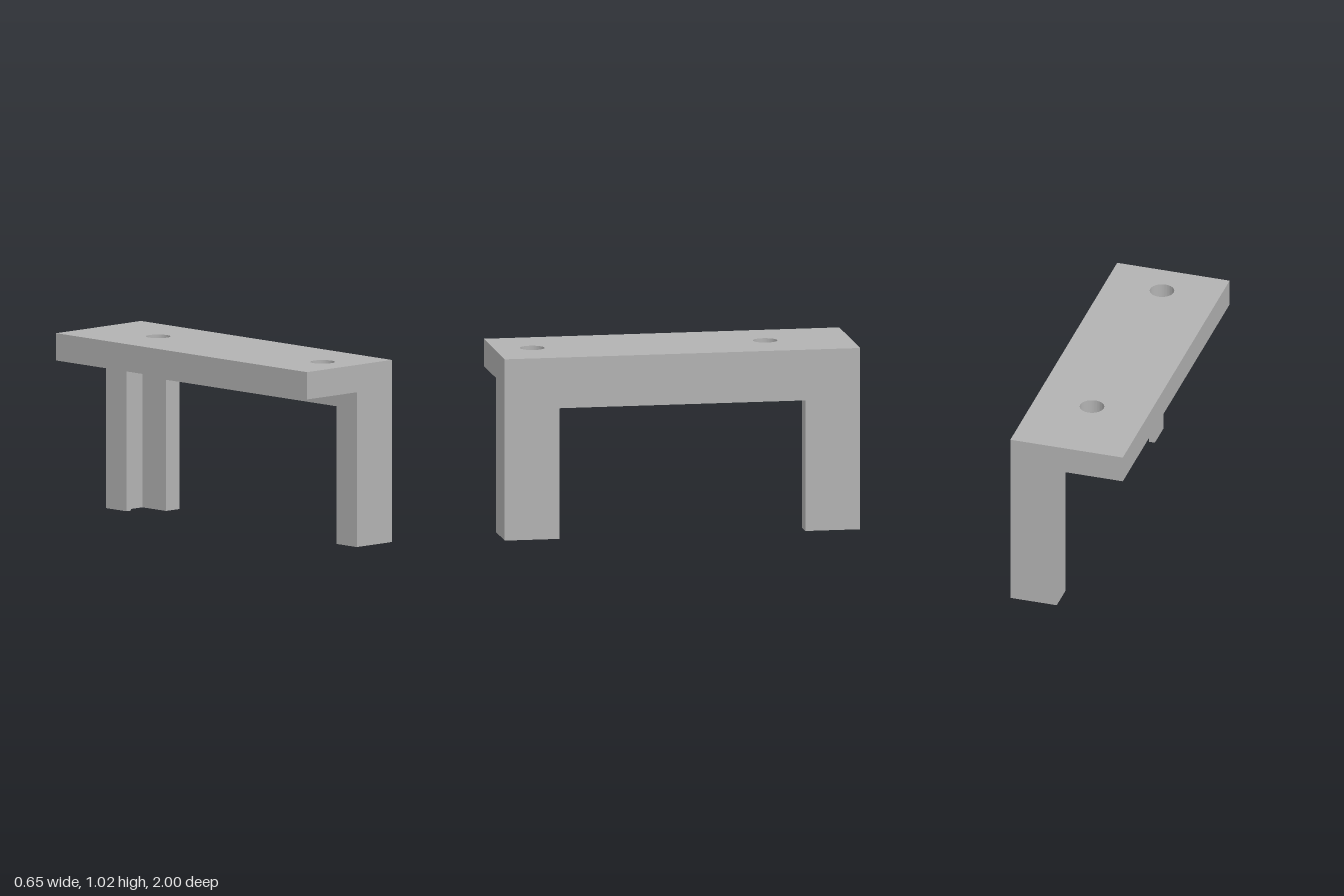
import * as THREE from 'three';
import { toCreasedNormals } from 'three/addons/utils/BufferGeometryUtils.js';

// x positions: overhang edge, lip face, channel sides, outer wall
const X0 = -0.326, X1 = 0.057, X2 = 0.091, X3 = 0.222, X4 = 0.326;
// z distances from centre: outer end, channel floor, lip edge, inner leg face
const Z0 = 1, Z1 = 0.88, Z2 = 0.837, Z3 = 0.692;
const HOLE_R = 0.068, HOLE_Z = [0.786, -0.524];

const polygon = (points) => new THREE.Shape(points.map(([x, z]) => new THREE.Vector2(x, z)));
const rect = (xa, xb, z) => polygon([[xa, -z], [xb, -z], [xb, z], [xa, z]]);

function addHoles(shape) {
  for (const z of HOLE_Z) {
    shape.holes.push(new THREE.Path().absarc(0, z, HOLE_R, 0, Math.PI * 2, true));
  }
  return shape;
}

export function createModel() {
  const group = new THREE.Group();
  const grey = new THREE.MeshStandardMaterial({ color: 0xb2b2b2 });
  grey.name = 'grey';

  // Horizontal slice: the outline lies in x/z and is extruded from bottom to top
  function slice(name, shape, bottom, top) {
    const raw = new THREE.ExtrudeGeometry(shape, { depth: top - bottom, bevelEnabled: false, curveSegments: 40 });
    const geometry = toCreasedNormals(raw, 0.6);
    geometry.rotateX(Math.PI / 2);
    geometry.translate(0, top, 0);
    const mesh = new THREE.Mesh(geometry, grey);
    mesh.name = name;
    group.add(mesh);
  }

  // Top plate with two screw holes
  slice('topPlate', addHoles(rect(X0, X4, Z0)), 0.905, 1.02);

  // Lower half of the plate, with the channel sunk into it
  const lower = addHoles(rect(X0, X4, Z0));
  lower.holes.push(rect(X2, X3, Z1));
  slice('channelPlate', lower, 0.867, 0.905);

  // Thin lip under the plate, notched where the screw holes pass
  const lip = polygon([[X1, -Z0], [X4, -Z0], [X4, Z0], [X1, Z0]]);
  const a = Math.acos(X1 / HOLE_R);
  for (const z of HOLE_Z) lip.absarc(0, z, HOLE_R, a, -a, true);
  lip.lineTo(X1, -Z0);
  lip.holes.push(rect(X2, X3, Z1));
  slice('channelLip', lip, 0.857, 0.867);

  // Side beam joining the tops of both legs
  slice('sideBeam', polygon([
    [X1, -Z0], [X4, -Z0], [X4, Z0], [X1, Z0], [X1, Z2], [X2, Z2], [X2, Z1],
    [X3, Z1], [X3, -Z1], [X2, -Z1], [X2, -Z2], [X1, -Z2],
  ]), 0.735, 0.857);

  // Hook-section legs with the channel running down their inner faces
  for (const [name, s] of [['frontLeg', 1], ['backLeg', -1]]) {
    slice(name, polygon([
      [X1, s * Z0], [X1, s * Z2], [X2, s * Z2], [X2, s * Z1],
      [X3, s * Z1], [X3, s * Z3], [X4, s * Z3], [X4, s * Z0],
    ]), 0, 0.735);
  }
  return group;
}
